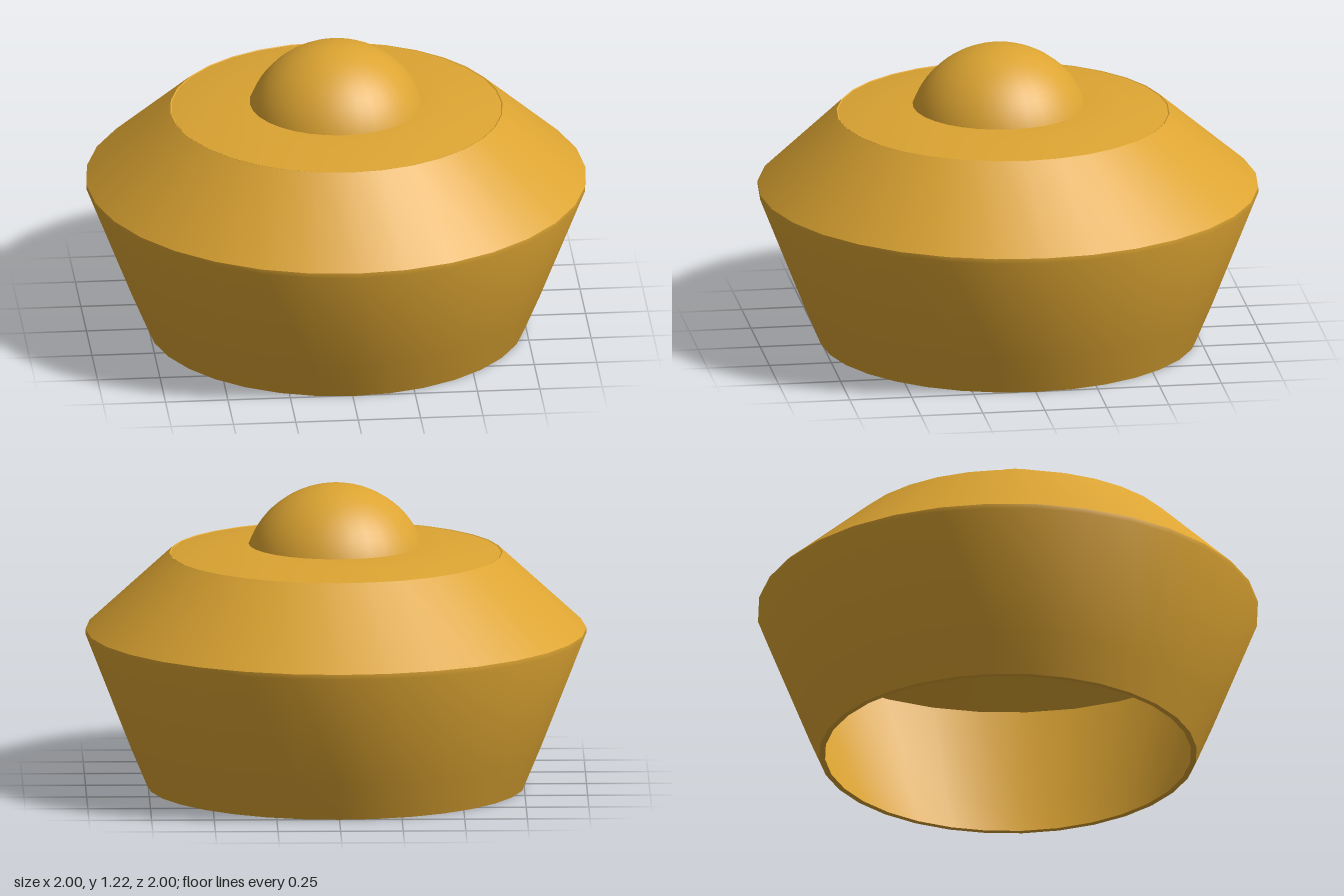
import * as THREE from 'three';
import { toCreasedNormals } from 'three/addons/utils/BufferGeometryUtils.js';

const SEGMENTS = 32;

// Revolve a profile of [radius, height] pairs, keeping hard edges sharp.
// The part above the widest line leans slightly towards the front.
function revolve(profile) {
  const points = profile.map(([r, y]) => new THREE.Vector2(r, y));
  const geometry = new THREE.LatheGeometry(points, SEGMENTS);
  const pos = geometry.attributes.position;
  for (let i = 0; i < pos.count; i++) {
    const lean = THREE.MathUtils.clamp((pos.getY(i) - 0.64) / 0.3, 0, 1);
    pos.setZ(i, pos.getZ(i) + 0.02 * lean);
  }
  return toCreasedNormals(geometry, 0.5);
}

export function createModel() {
  const model = new THREE.Group();
  const gold = new THREE.MeshStandardMaterial({ color: 0xdca432 });
  gold.name = 'gold';

  const add = (name, geometry) => {
    const mesh = new THREE.Mesh(geometry, gold);
    mesh.name = name;
    model.add(mesh);
    return mesh;
  };

  // Hollow body: flared wall, thin rim band and sloping shoulder, then the inside
  add('bodyShell', revolve([
    [0.755, 0], [0.818, 0.15], [1, 0.615], [1, 0.635], [0.665, 0.94],
    [0.64, 0.925], [0.975, 0.635], [0.795, 0.15], [0.732, 0], [0.755, 0],
  ]));

  // Shallow domed lid with a thick plug below it
  add('lid', revolve([
    [0, 0.71], [0.66, 0.71], [0.66, 0.938], [0.48, 0.966], [0.34, 0.974], [0, 0.978],
  ]));

  // Round knob on the lid
  const knob = add('knob', new THREE.SphereGeometry(0.3725, 32, 16, 0, Math.PI * 2, 0, 1.35));
  knob.position.set(0, 0.8425, 0.033);

  return model;
}
